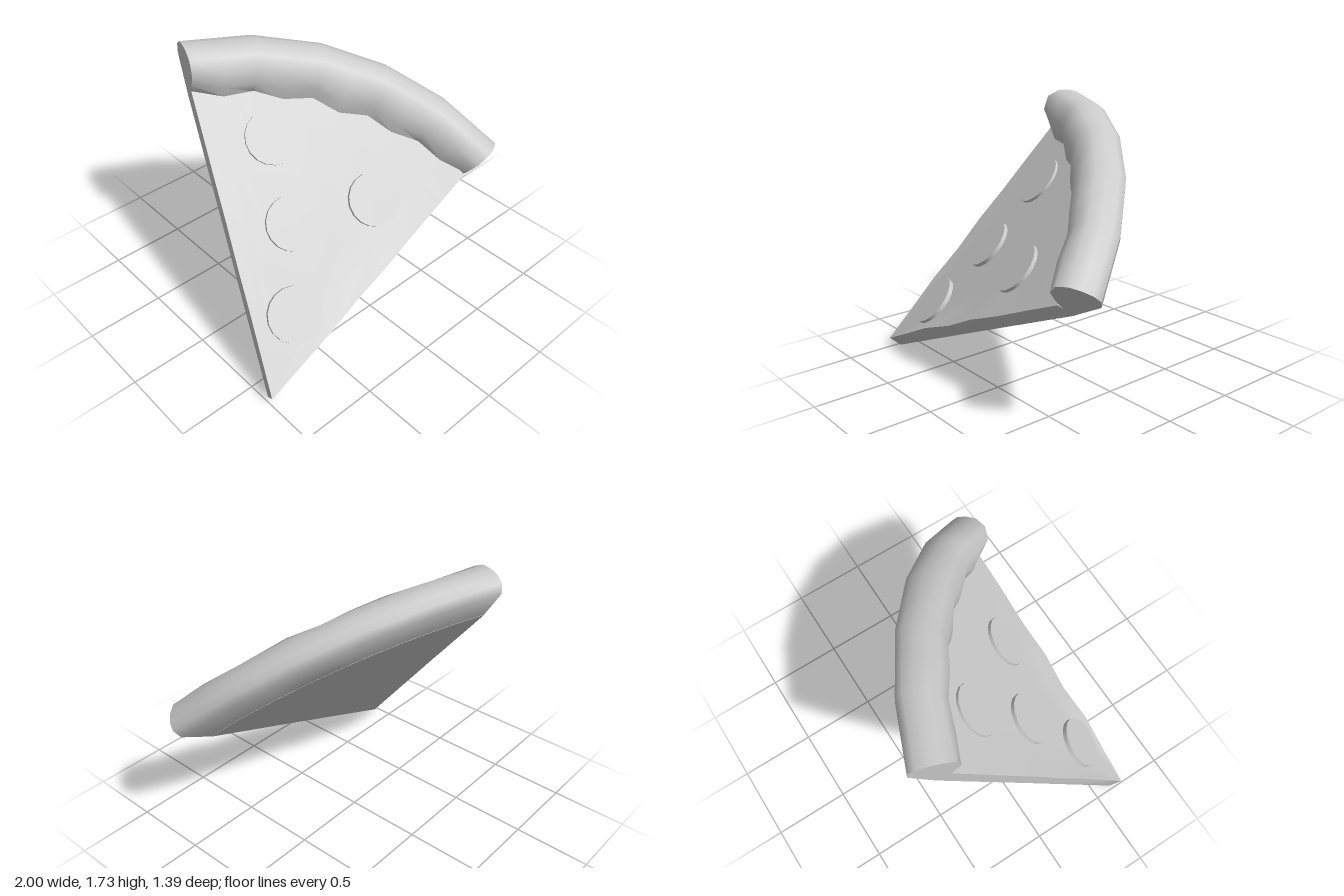
import * as THREE from 'three';
import { toCreasedNormals } from 'three/addons/utils/BufferGeometryUtils.js';

const ANGLE = 1.025; // opening angle of the slice
const STEPS = 10;

// Sweeps a closed (radius, height) outline round the tip and caps both cut ends.
function sweepSlice(profileAt, crease) {
  const rings = [], outlines = [], pos = [];
  for (let i = 0; i <= STEPS; i++) {
    const a = (ANGLE * i) / STEPS;
    const outline = profileAt(i).map(([r, h]) => new THREE.Vector2(r, h));
    outlines.push(outline);
    rings.push(outline.map(p => [p.x * Math.cos(a), p.y, -p.x * Math.sin(a)]));
  }
  const tri = (a, b, c) => pos.push(...a, ...b, ...c);
  for (let i = 0; i < STEPS; i++) {
    const A = rings[i], B = rings[i + 1];
    for (let j = 0; j < A.length; j++) {
      const k = (j + 1) % A.length;
      tri(A[j], B[j], A[k]);
      tri(A[k], B[j], B[k]);
    }
  }
  for (const [i, flip] of [[0, false], [STEPS, true]]) {
    for (const [a, b, c] of THREE.ShapeUtils.triangulateShape(outlines[i], [])) {
      const R = rings[i];
      if (flip) tri(R[a], R[c], R[b]);
      else tri(R[a], R[b], R[c]);
    }
  }
  const geo = new THREE.BufferGeometry();
  geo.setAttribute('position', new THREE.Float32BufferAttribute(pos, 3));
  return toCreasedNormals(geo, crease);
}

// Flat wedge whose top ripples along the cut edges
function baseProfile(i) {
  const edge = Math.max(0, 1 - i / 2) + 0.4 * Math.max(0, (i - 8) / 2);
  const top = [[1.86, 0], [1.62, 0.006], [1.32, 0.006], [1.05, 0.024],
    [0.78, 0.006], [0.53, 0.03], [0.25, 0.012], [0.001, 0]];
  return [[0.001, -0.097], [1.0, -0.105], [1.88, -0.115],
    ...top.map(([r, h]) => [r, h * edge])];
}

// Rounded rim with a wavy inner foot; the outer side has half as many facets
const FOOT = [1.87, 1.812, 1.823, 1.78, 1.808, 1.762, 1.811, 1.777, 1.82, 1.796, 1.86];
function crustProfile(i) {
  const chord = i % 2 ? Math.cos(ANGLE / STEPS) : 1;
  const foot = FOOT[i];
  const lump = 0.008 * Math.sin(i * 2.1);
  const outer = [[2.12, -0.09], [2.165, -0.045], [2.165, 0.01], [2.135, 0.07], [2.085, 0.125]];
  return [[1.86, -0.115],
    ...outer.map(([r, h]) => [r * chord, h]),
    [2.01 * chord, 0.152 + lump],
    [foot * 0.4 + 1.965 * 0.6, 0.118 + lump],
    [foot * 0.75 + 1.965 * 0.25, 0.055],
    [foot, -0.005]];
}

export function createModel() {
  const material = new THREE.MeshStandardMaterial({ color: 0xcccccc });
  const model = new THREE.Group();
  model.name = 'pizzaSlice';

  // Slice is built lying flat, tip at the origin, then tilted into place
  const slice = new THREE.Group();
  slice.name = 'tiltedSlice';
  const x = new THREE.Vector3(0.92, 0.39, -0.045).normalize();
  const z = x.clone().cross(new THREE.Vector3(-0.241, 0.651, 0.72)).normalize();
  const y = z.clone().cross(x);
  slice.quaternion.setFromRotationMatrix(new THREE.Matrix4().makeBasis(x, y, z));
  slice.position.set(-1, 0.065, 0.695);
  model.add(slice);

  const add = (name, geometry) => {
    const mesh = new THREE.Mesh(geometry, material);
    mesh.name = name;
    slice.add(mesh);
    return mesh;
  };

  add('base', sweepSlice(baseProfile, 0.6));
  add('crust', sweepSlice(crustProfile, 0.95));

  // Sausage discs: x, z and height of the upper face
  const discs = [[0.445, -0.234, 0.03], [0.833, -0.614, 0.026],
    [1.304, -0.339, 0.025], [1.12, -1.061, 0.018]];
  discs.forEach(([dx, dz, top], i) => {
    const disc = add('sausageDisc' + (i + 1), new THREE.CylinderGeometry(0.172, 0.172, 0.06, 18));
    disc.position.set(dx, top - 0.03, dz);
  });
  return model;
}
